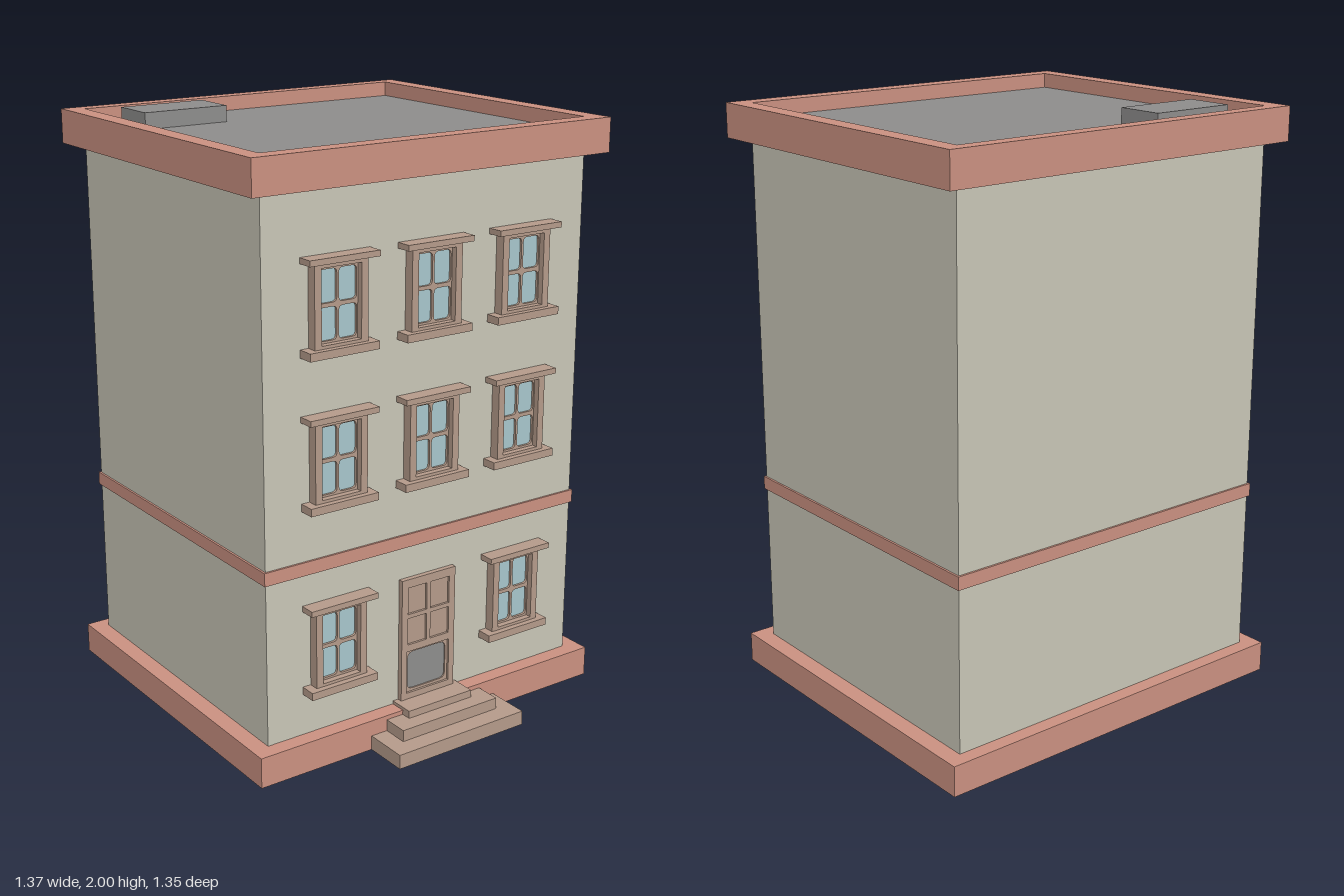
import * as THREE from 'three';

const mat = (name, color) => {
  const m = new THREE.MeshStandardMaterial({ color });
  m.name = name;
  return m;
};

// Rectangle between two corners, with optional rounded corners
function rect(Type, x0, x1, y0, y1, r = 0) {
  const p = new Type();
  if (!r) {
    p.moveTo(x0, y0); p.lineTo(x1, y0); p.lineTo(x1, y1); p.lineTo(x0, y1);
  } else {
    p.moveTo(x0 + r, y0);
    p.lineTo(x1 - r, y0); p.quadraticCurveTo(x1, y0, x1, y0 + r);
    p.lineTo(x1, y1 - r); p.quadraticCurveTo(x1, y1, x1 - r, y1);
    p.lineTo(x0 + r, y1); p.quadraticCurveTo(x0, y1, x0, y1 - r);
    p.lineTo(x0, y0 + r); p.quadraticCurveTo(x0, y0, x0 + r, y0);
  }
  p.closePath();
  return p;
}

// Flat panel with holes; each rectangle is [x0, x1, y0, y1, radius]
function panel(outer, holes, depth) {
  const shape = rect(THREE.Shape, ...outer);
  shape.holes = holes.map((h) => rect(THREE.Path, ...h));
  return new THREE.ExtrudeGeometry(shape, { depth, bevelEnabled: false, curveSegments: 3 });
}

function add(parent, name, geometry, material, z = 0) {
  const mesh = new THREE.Mesh(geometry, material);
  mesh.name = name;
  mesh.position.z = z;
  parent.add(mesh);
  return mesh;
}

// Box given by its limits on each axis
function block(parent, name, material, x0, x1, y0, y1, z0, z1) {
  const g = new THREE.BoxGeometry(x1 - x0, y1 - y0, z1 - z0);
  g.translate((x0 + x1) / 2, (y0 + y1) / 2, (z0 + z1) / 2);
  return add(parent, name, g, material);
}

export function createModel() {
  const model = new THREE.Group();
  model.name = 'townhouse';
  const plaster = mat('cream plaster', 0xcac7b8);
  const brick = mat('red brick', 0xcc9282);
  const stone = mat('brown stone', 0xb69c8b);
  const glass = mat('pale blue glass', 0xa9c8cd);
  const slate = mat('grey roofing', 0x8f8e8d);
  const FRONT = 0.465;

  // Main volume, plinth and string course
  block(model, 'walls', plaster, -0.625, 0.625, 0.1, 1.9, -0.625, FRONT);
  block(model, 'plinth', brick, -0.685, 0.685, 0, 0.105, -0.675, 0.52);
  block(model, 'stringCourse', brick, -0.632, 0.632, 0.66, 0.705, -0.632, 0.472);

  // Parapet ring around a sunken roof
  const ring = panel([-0.685, 0.685, -0.52, 0.675], [[-0.622, 0.622, -0.46, 0.625]], 0.115);
  ring.rotateX(-Math.PI / 2);
  add(model, 'parapet', ring, brick).position.y = 1.88;
  block(model, 'roof', slate, -0.623, 0.623, 1.885, 1.945, -0.626, 0.461);
  block(model, 'roofHatch', slate, -0.52, -0.21, 1.94, 2, -0.56, -0.395);

  // Windows: frame, four-pane sash, glass, sill and lintel
  const frameGeo = panel([-0.098, 0.098, 0.02, 0.29], [[-0.073, 0.073, 0.036, 0.274]], 0.035);
  const panes = [];
  for (const x of [-0.069, 0.004]) {
    for (const y of [0.043, 0.16]) panes.push([x, x + 0.065, y, y + 0.104, 0.014]);
  }
  const sashGeo = panel([-0.074, 0.074, 0.035, 0.275], panes, 0.014);
  const glassGeo = new THREE.BoxGeometry(0.144, 0.236, 0.005).translate(0, 0.155, 0);

  function addWindow(x, y) {
    const w = new THREE.Group();
    w.name = 'window';
    w.position.set(x, y, FRONT);
    add(w, 'windowFrame', frameGeo, stone);
    add(w, 'windowSash', sashGeo, stone);
    add(w, 'windowGlass', glassGeo, glass, 0.003);
    block(w, 'windowSill', stone, -0.128, 0.128, 0, 0.026, 0, 0.055);
    block(w, 'windowLintel', stone, -0.128, 0.128, 0.289, 0.308, 0, 0.055);
    model.add(w);
  }
  for (const y of [1.367, 0.874, 0.248]) {
    for (const x of [-0.362, 0, 0.362]) {
      if (x !== 0 || y > 0.5) addWindow(x, y);
    }
  }

  // Door: four sunken panels above a rounded grey light
  const door = new THREE.Group();
  door.name = 'door';
  door.position.z = FRONT;
  const openings = [[-0.088, 0.088, 0.138, 0.29]];
  for (const x of [-0.085, 0.008]) {
    for (const y of [0.315, 0.425]) openings.push([x, x + 0.077, y, y + 0.095]);
  }
  add(door, 'doorLeaf', panel([-0.11, 0.11, 0.1, 0.55], openings, 0.018), stone);
  block(door, 'doorPanels', stone, -0.1, 0.1, 0.3, 0.54, -0.005, 0.01);
  add(door, 'doorLightFrame',
    panel([-0.089, 0.089, 0.137, 0.291], [[-0.079, 0.079, 0.147, 0.282, 0.022]], 0.01), stone);
  block(door, 'doorLight', slate, -0.085, 0.085, 0.14, 0.288, -0.002, 0.005);
  model.add(door);

  // Front steps, widest at the bottom
  [[0.258, 0, 0.05, 0.675], [0.196, 0.05, 0.09, 0.61], [0.131, 0.09, 0.116, 0.555]]
    .forEach(([x, y0, y1, z]) => block(model, 'step', stone, -x, x, y0, y1, FRONT, z));

  return model;
}
